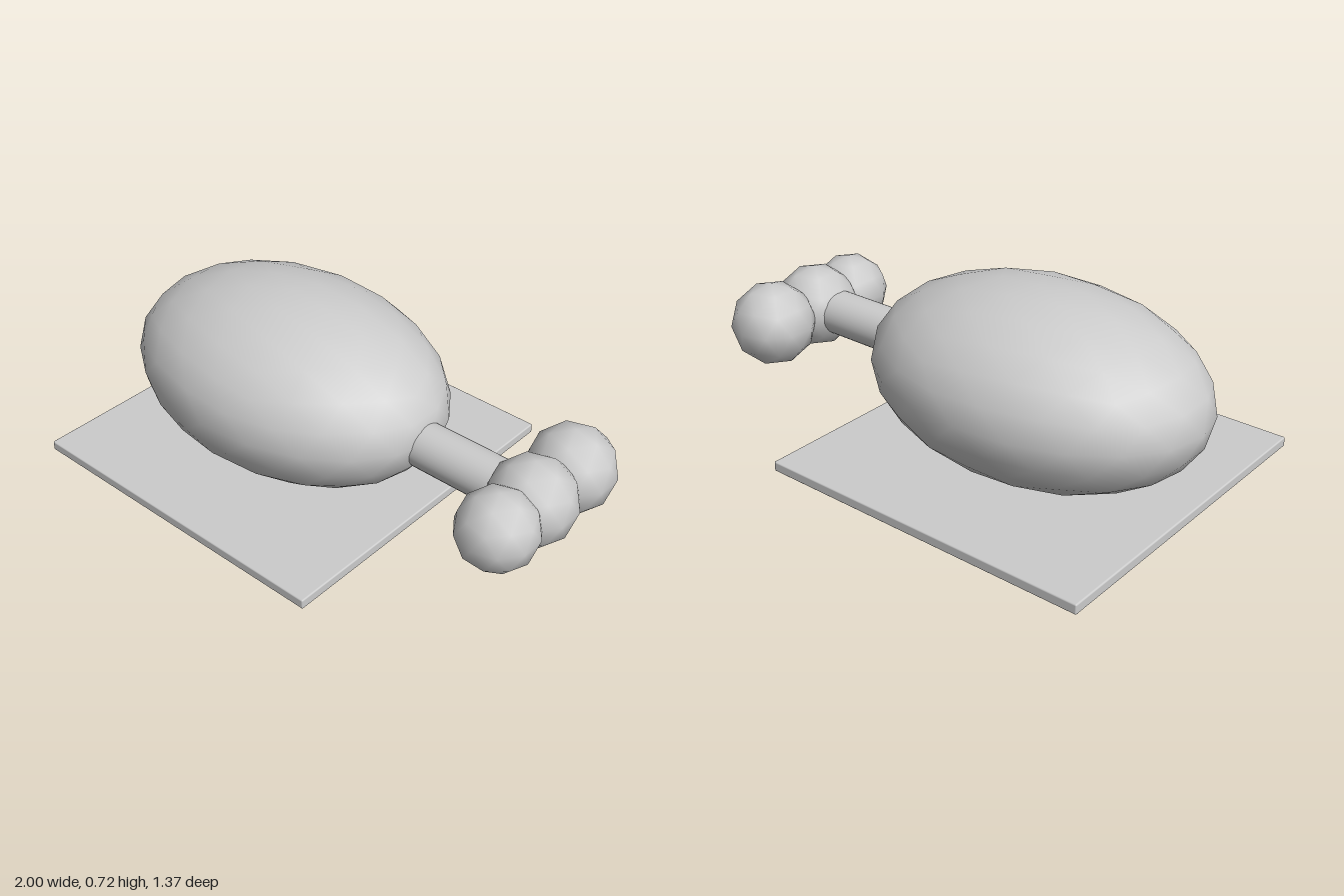
import * as THREE from 'three';
import { RoundedBoxGeometry } from 'three/addons/geometries/RoundedBoxGeometry.js';

export function createModel() {
  const model = new THREE.Group();
  const grey = new THREE.MeshStandardMaterial({ color: 0xcccccc });
  grey.name = 'light grey';

  function add(name, geometry, x, y, z) {
    const mesh = new THREE.Mesh(geometry, grey);
    mesh.name = name;
    mesh.position.set(x, y, z);
    model.add(mesh);
  }

  // Icosphere turned so that one corner points straight up, then stretched
  function ball(rx, ry, rz, detail) {
    return new THREE.IcosahedronGeometry(1, detail)
      .rotateZ(-Math.atan(2 / (1 + Math.sqrt(5))))
      .scale(rx, ry, rz);
  }

  // Thin square base; the body dips just through it
  add('basePlate', new RoundedBoxGeometry(1.365, 0.04, 1.365, 2, 0.006), -0.2975, 0.035, 0);

  // Egg-shaped body
  add('body', ball(0.695, 0.36, 0.485, 3), -0.305, 0.361, 0);

  // Rod from the body to the cluster of balls
  add('rod', new THREE.CylinderGeometry(0.09, 0.09, 0.6, 32).rotateZ(Math.PI / 2), 0.52, 0.33, 0);

  // Row of three balls at the end of the rod
  const balls = [
    ['frontBall', 0.155, 0.2],
    ['middleBall', 0.17, 0],
    ['backBall', 0.17, -0.24],
  ];
  for (const [name, r, z] of balls) add(name, ball(r, r, r, 1), 0.837, 0.33, z);

  return model;
}
